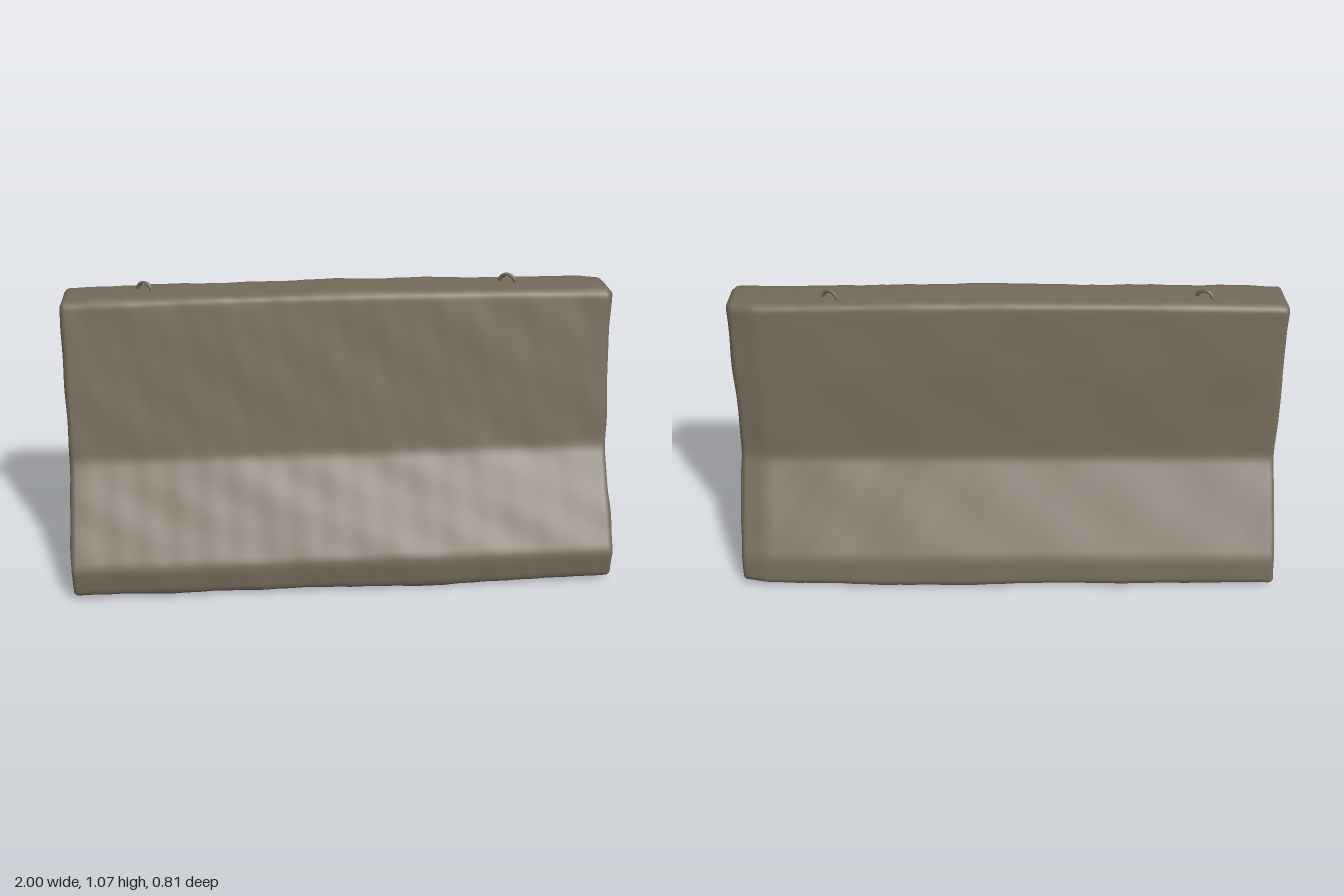
import * as THREE from 'three';

const concrete = new THREE.MeshStandardMaterial({ color: 0x766b5b });
concrete.name = 'weathered concrete';

// cross-section corners [z, y], from the front foot over the top to the back foot
const corners = [
  [0.395, 0.018], [0.402, 0.13], [0.178, 0.46], [0.06, 1.032],
  [-0.118, 1.032], [-0.15, 0.78], [-0.18, 0.44], [-0.39, 0.12], [-0.41, 0.018],
];

// rounded, evenly sampled cross-section
function crossSection(count) {
  const v = corners.map(([z, y]) => new THREE.Vector2(z, y));
  const n = v.length, r = 0.022;
  const shape = new THREE.Shape();
  for (let i = 0; i < n; i++) {
    const p = v[i];
    const a = v[(i + n - 1) % n].clone().sub(p).setLength(r).add(p);
    const b = v[(i + 1) % n].clone().sub(p).setLength(r).add(p);
    if (i === 0) shape.moveTo(a.x, a.y);
    else shape.lineTo(a.x, a.y);
    shape.quadraticCurveTo(p.x, p.y, b.x, b.y);
  }
  shape.closePath();
  return shape.getSpacedPoints(count).slice(0, count);
}

// gentle lumps of worn concrete
function lumps(x, y, z) {
  return 0.0022 * Math.sin(7 * x + 5 * y + 2) * Math.cos(9 * z - 6 * y)
    + 0.0018 * Math.sin(17 * x - 11 * z + 1) * Math.sin(13 * y + 4 * x)
    + 0.0012 * Math.sin(37 * x + 23 * y) * Math.cos(31 * z + 19 * x);
}

function barrierGeometry() {
  const count = 200;
  const section = crossSection(count);
  const normals = section.map((p, j) => {
    const t = section[(j + 1) % count].clone().sub(section[(j + count - 1) % count]).normalize();
    return new THREE.Vector2(t.y, -t.x);
  });

  // rings along x: [x, inset, closing towards the middle plane]
  const half = [[0.995, 0.022, 0], [0.995, 0.022, 0.25], [0.995, 0.022, 0.5],
    [0.995, 0.022, 0.75], [0.995, 0.022, 1]];
  const bevel = [0.2, 0.4, 0.6, 0.8].map((t) => {
    const a = t * Math.PI / 2;
    return [0.973 + 0.022 * Math.sin(a), 0.022 * (1 - Math.cos(a)), 0];
  });
  const end = [...bevel, ...half];
  const rings = end.map(([x, d, c]) => [-x, d, c]).reverse();
  const steps = 90;
  for (let i = 0; i <= steps; i++) rings.push([-0.973 + 1.946 * i / steps, 0, 0]);
  rings.push(...end);

  const positions = [], index = [];
  rings.forEach(([x, inset, close], i) => {
    section.forEach((p, j) => {
      const n = normals[j];
      // the back corner at the left end is more worn
      const worn = p.x < -0.08 ? 0.02 * THREE.MathUtils.smoothstep(x, 0.88, 0.99) : 0;
      const d = lumps(x, p.y, p.x) - inset;
      let z = p.x + n.x * d + worn;
      let y = p.y + n.y * d;
      z = THREE.MathUtils.lerp(z, -0.015, close);
      // slightly bowed top and sagging base
      y += 0.012 * (1 - x * x) * THREE.MathUtils.smoothstep(y, 0.6, 1);
      y -= 0.011 * Math.exp(-(((x - 0.25) / 0.4) ** 2)) * (1 - THREE.MathUtils.smoothstep(y, 0, 0.15));
      const out = close > 0 || inset > 0.01 ? Math.sign(x) * 1.5 * lumps(x, y, z) : 0;
      positions.push(x + out, y, z);
      if (i < rings.length - 1) {
        const a = i * count + j, b = i * count + (j + 1) % count;
        index.push(a, a + count, b, b, a + count, b + count);
      }
    });
  });
  const g = new THREE.BufferGeometry();
  g.setAttribute('position', new THREE.Float32BufferAttribute(positions, 3));
  g.setIndex(index);
  g.computeVertexNormals();
  return g;
}

export function createModel() {
  const group = new THREE.Group();
  group.name = 'concreteBarrier';

  const body = new THREE.Mesh(barrierGeometry(), concrete);
  body.name = 'barrierBody';
  group.add(body);

  // lifting loops set in the top
  const path = new THREE.CatmullRomCurve3([
    [-0.03, 0], [-0.031, 0.03], [-0.02, 0.052], [0, 0.06], [0.02, 0.052], [0.031, 0.03], [0.03, 0],
  ].map(([x, y]) => new THREE.Vector3(x, y, 0)));
  const loopGeometry = new THREE.TubeGeometry(path, 24, 0.007, 8);
  for (const [name, x] of [['rightLiftingLoop', -0.7], ['leftLiftingLoop', 0.63]]) {
    const loop = new THREE.Mesh(loopGeometry, concrete);
    loop.name = name;
    loop.position.set(x, 1.004, -0.052);
    loop.rotation.y = -0.45;
    group.add(loop);
  }
  return group;
}
